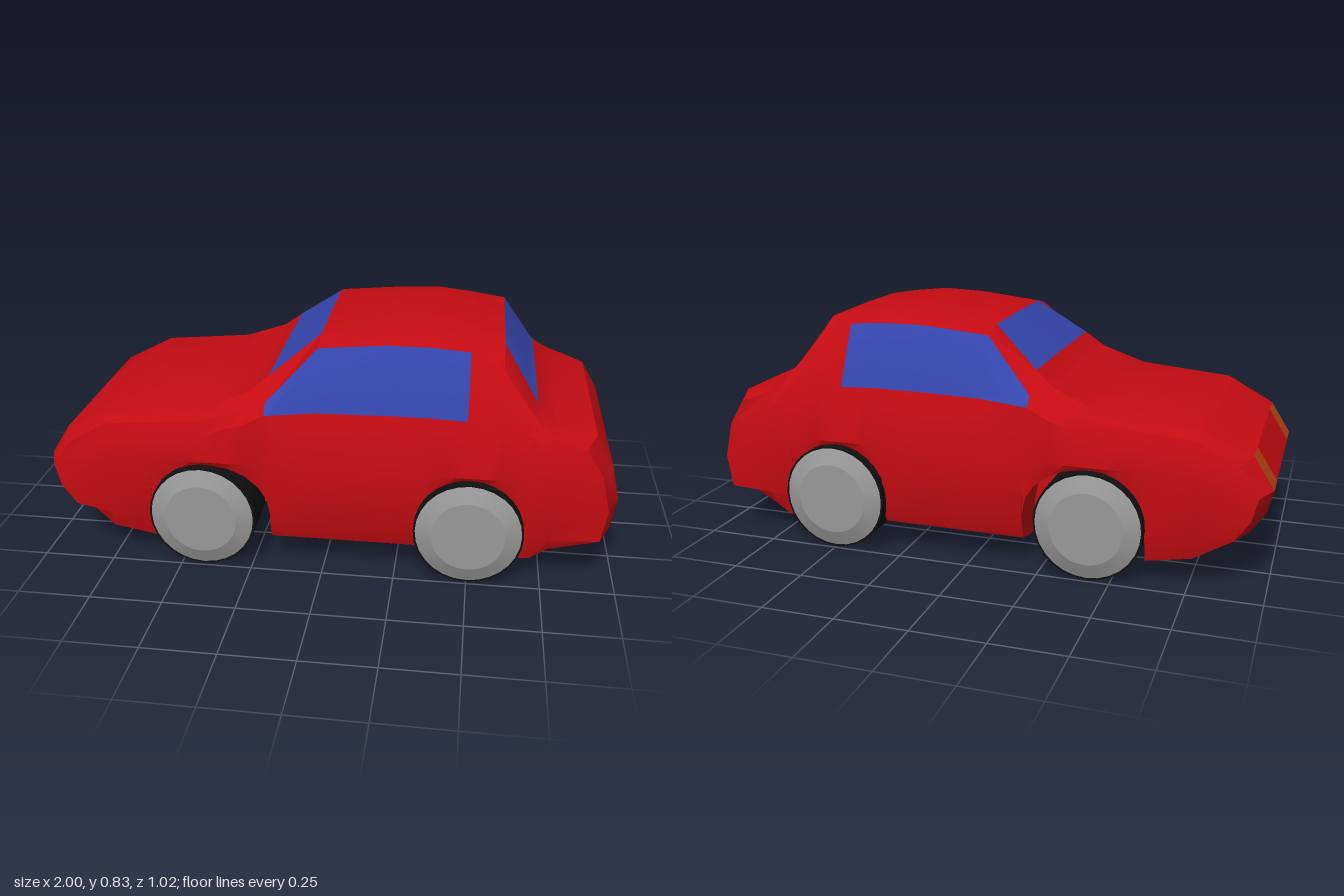
import * as THREE from 'three';
import { toCreasedNormals } from 'three/addons/utils/BufferGeometryUtils.js';

const PARTS = {
  bodywork: 0xc60c12, windows: 0x3546ae, lightSurrounds: 0x9a3a10, lightLenses: 0xb5860f,
};

// Cross-sections: x, floor y, shoulder z/y, window-top z/y, roof-edge z, top y
const SECTIONS = [
  [-0.76, 0.08, 0.46, 0.44, 0.44, 0.50, 0.38, 0.525],
  [-0.43, 0.02, 0.46, 0.48, 0.44, 0.53, 0.38, 0.555],
  [-0.27, 0.08, 0.455, 0.53, 0.43, 0.565, 0.36, 0.615],
  [-0.20, 0.08, 0.45, 0.565, 0.42, 0.60, 0.34, 0.67],
  [-0.03, 0.08, 0.44, 0.58, 0.34, 0.775, 0.25, 0.80],
  [0.20, 0.08, 0.44, 0.585, 0.34, 0.795, 0.25, 0.825],
  [0.35, 0.08, 0.44, 0.585, 0.34, 0.795, 0.25, 0.83],
  [0.48, 0.05, 0.44, 0.58, 0.34, 0.785, 0.25, 0.815],
  [0.59, 0.05, 0.445, 0.57, 0.36, 0.735, 0.26, 0.795],
  [0.71, 0.06, 0.45, 0.53, 0.42, 0.58, 0.32, 0.61],
  [0.77, 0.10, 0.455, 0.48, 0.435, 0.535, 0.38, 0.56],
];
const NOSE = [[-0.93, 0.18], [-0.98, 0.25], [-1, 0.33], [-0.93, 0.44]];
const TAIL = [[0.98, 0.165], [1, 0.28], [0.97, 0.41], [0.91, 0.515]];
const COLUMNS = [-0.44, -0.345, -0.24, 0.24, 0.345, 0.44];
const ARCHES = [{ x: -0.395, r: 0.21 }, { x: 0.5, r: 0.175 }];

function sectionAt(x) {
  let i = 0;
  while (i < SECTIONS.length - 2 && SECTIONS[i + 1][0] < x) i++;
  const a = SECTIONS[i], b = SECTIONS[i + 1], t = (x - a[0]) / (b[0] - a[0]);
  return a.map((v, k) => v + (b[k] - v) * t);
}

// Half ring from the floor centre, out over the sill and up to the roof centre
function ringAt(x, arch) {
  const [, floor, shZ, shY, edgeZ, edgeY, roofZ, top] = sectionAt(x);
  const archY = arch ? 0.19 + 0.18 * Math.sqrt(Math.max(0, 1 - ((x - arch.x) / arch.r) ** 2)) : 0;
  const low = arch
    ? [[0, 0.16], [0.3, 0.16], [0.3, archY], [0.455, archY]]
    : [[0, floor], [0.35, floor], [0.435, floor + 0.02], [0.458, 0.165]];
  return [...low, [0.466, 0.385], [shZ, shY], [edgeZ, edgeY], [roofZ, top - 0.003], [0, top]]
    .map(([z, y]) => new THREE.Vector3(x, y, z));
}

// Point of the nose or tail panel; its outer columns are swept back
function panelPoint(rows, r, z) {
  const [x, y] = rows[r], outer = Math.abs(z) > 0.4;
  return new THREE.Vector3(outer ? x - Math.sign(x) * 0.04 : x, outer && r === 3 ? y - 0.015 : y, z);
}

function endRing(rows) {
  return [[0, 0], [0, 0.24], [0, 0.345], [0, 0.44], [1, 0.44], [2, 0.44], [3, 0.44], [3, 0.345], [3, 0]]
    .map(([r, z]) => panelPoint(rows, r, z));
}

function stations() {
  const list = [];
  const inside = (x) => ARCHES.some((a) => Math.abs(x - a.x) < a.r + 0.001);
  for (const s of SECTIONS) if (!inside(s[0])) list.push({ x: s[0], order: 0, ring: ringAt(s[0]) });
  for (const a of ARCHES) {
    const xs = SECTIONS.map((s) => s[0]).filter((x) => Math.abs(x - a.x) < a.r);
    for (let i = 0; i <= 10; i++) xs.push(a.x - a.r * Math.cos((i / 10) * Math.PI));
    for (const x of xs) list.push({ x, order: 0, ring: ringAt(x, a) });
    // Upright walls closing each wheel well
    for (const side of [-1, 1]) list.push({ x: a.x + side * a.r, order: side, ring: ringAt(a.x + side * a.r) });
  }
  list.sort((p, q) => (Math.abs(p.x - q.x) < 1e-6 ? p.order - q.order : p.x - q.x));
  return [endRing(NOSE), ...list.map((s) => s.ring), endRing(TAIL)];
}

function buildBody() {
  const points = [], tags = [];
  const tri = (a, b, c, tag) => {
    const area = b.clone().sub(a).cross(c.clone().sub(a)).length();
    if (area < 1e-8) return;
    points.push(a, b, c);
    tags.push(tag);
  };
  const quad = (a, b, c, d, tag) => { tri(a, b, c, tag); tri(a, c, d, tag); };
  const flip = (p) => new THREE.Vector3(p.x, p.y, -p.z);

  // Shell, mirrored across z
  const rings = stations();
  for (let i = 0; i < rings.length - 1; i++) {
    for (let j = 0; j < 8; j++) {
      const q = [rings[i][j], rings[i + 1][j], rings[i + 1][j + 1], rings[i][j + 1]];
      const x = (q[0].x + q[1].x) / 2;
      const sideGlass = j === 5 && x > -0.2 && x < 0.48;
      const endGlass = j === 7 && ((x > -0.2 && x < -0.03) || (x > 0.59 && x < 0.71));
      const tag = sideGlass || endGlass ? 'windows' : 'bodywork';
      quad(...q, tag);
      quad(...q.map(flip).reverse(), tag);
    }
  }

  // Nose and tail panels with recessed lights
  for (const [rows, dir, lightRow] of [[NOSE, -1, 2], [TAIL, 1, 1]]) {
    for (let r = 0; r < 3; r++) {
      for (let c = 0; c < 5; c++) {
        const z0 = COLUMNS[c], z1 = COLUMNS[c + 1];
        const q = [panelPoint(rows, r, z0), panelPoint(rows, r + 1, z0),
          panelPoint(rows, r + 1, z1), panelPoint(rows, r, z1)];
        if (dir < 0) q.reverse();
        if (r !== lightRow || (c !== 1 && c !== 3)) {
          quad(...q, 'bodywork');
          continue;
        }
        const centre = q[0].clone().add(q[2]).multiplyScalar(0.5);
        const inner = q.map((p) => {
          const v = p.clone().lerp(centre, 0.5);
          v.x -= dir * 0.03;
          return v;
        });
        for (let k = 0; k < 4; k++) {
          const n = (k + 1) % 4;
          quad(q[k], q[n], inner[n], inner[k], 'lightSurrounds');
        }
        quad(...inner, 'lightLenses');
      }
    }
  }

  // Shared creased normals, then one mesh per coloured part
  const whole = toCreasedNormals(new THREE.BufferGeometry().setFromPoints(points), 0.45);
  const pos = whole.attributes.position.array, nor = whole.attributes.normal.array;
  const group = new THREE.Group();
  group.name = 'body';
  for (const [name, color] of Object.entries(PARTS)) {
    const p = [], n = [];
    tags.forEach((tag, t) => {
      if (tag !== name) return;
      for (let k = t * 9; k < t * 9 + 9; k++) { p.push(pos[k]); n.push(nor[k]); }
    });
    const geo = new THREE.BufferGeometry();
    geo.setAttribute('position', new THREE.Float32BufferAttribute(p, 3));
    geo.setAttribute('normal', new THREE.Float32BufferAttribute(n, 3));
    const mesh = new THREE.Mesh(geo, new THREE.MeshStandardMaterial({ color }));
    mesh.name = name;
    group.add(mesh);
  }
  return group;
}

function buildWheel(name, x, side) {
  const wheel = new THREE.Group();
  wheel.name = name;
  const add = (part, rTop, rBottom, from, to, color) => {
    const geo = new THREE.CylinderGeometry(rTop, rBottom, to - from, 28);
    geo.translate(0, (from + to) / 2, 0);
    const mesh = new THREE.Mesh(geo, new THREE.MeshStandardMaterial({ color }));
    mesh.name = part;
    wheel.add(mesh);
  };
  add('tyre', 0.187, 0.187, 0.3, 0.488, 0x111111);
  add('hubcap', 0.125, 0.18, 0.488, 0.51, 0x999999);
  wheel.rotation.x = (side * Math.PI) / 2;
  wheel.position.set(x, 0.187, 0);
  return wheel;
}

export function createModel() {
  const car = new THREE.Group();
  car.name = 'car';
  car.add(buildBody());
  for (const side of [-1, 1]) {
    car.add(buildWheel('frontWheel', -0.42, side), buildWheel('rearWheel', 0.5, side));
  }
  return car;
}
